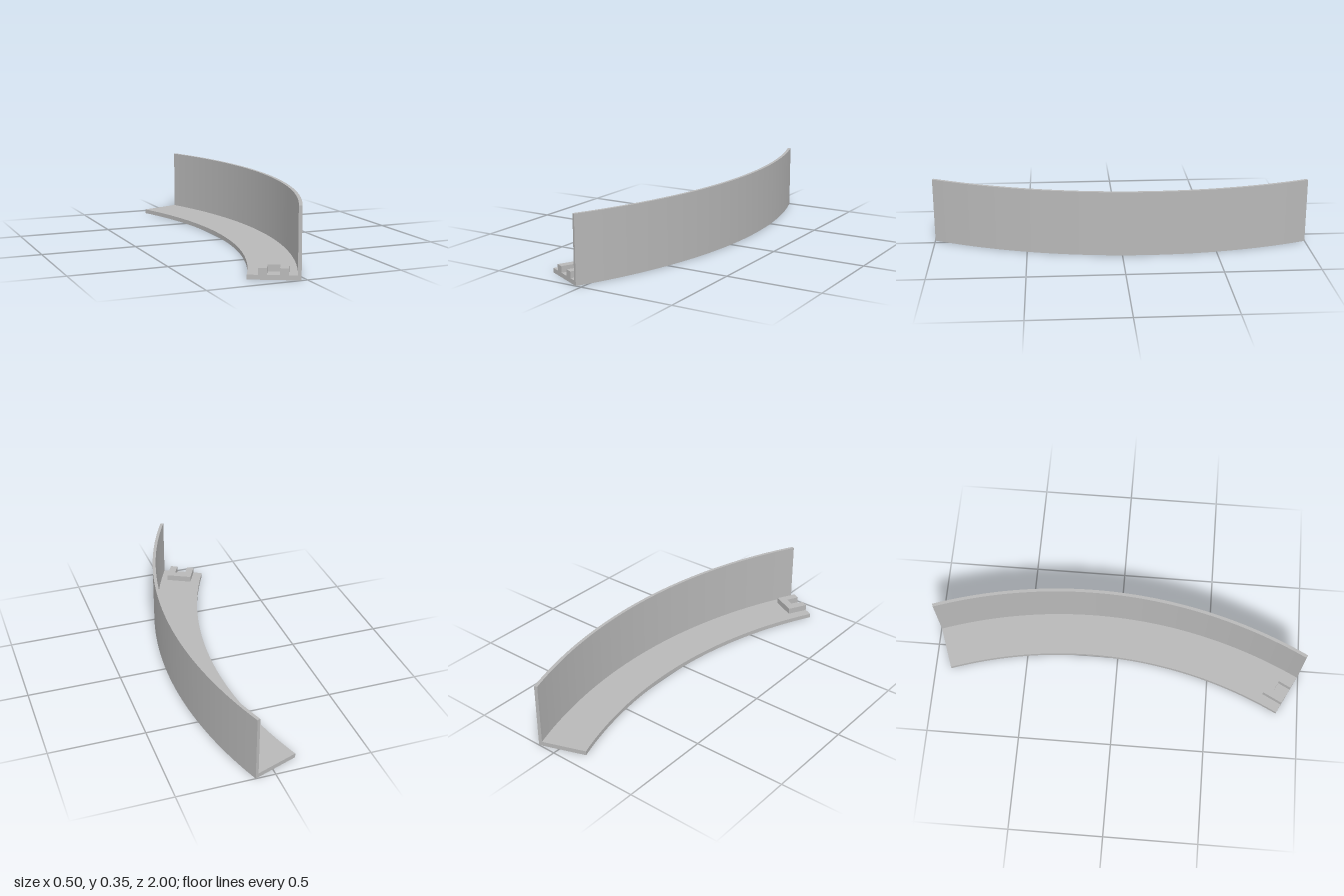
import * as THREE from 'three';

// Arc layout: centre, radii and the two end angles (measured from +x towards +z)
const CX = -2.25, CZ = -0.151;
const OUTER = 2.5, INNER = 2.248, WALL = 0.017;
const BACK = THREE.MathUtils.degToRad(-19.84);
const FRONT = THREE.MathUtils.degToRad(27.4);
const FLOOR = 0.023;

// Extrudes a plan shape (x, -z) upwards
function extrudeUp(shape, height) {
  const geometry = new THREE.ExtrudeGeometry(shape, { depth: height, bevelEnabled: false, curveSegments: 48 });
  return geometry.rotateX(-Math.PI / 2);
}

// Curved strip between two radii, from one end angle to the other
function arcStrip(r0, r1) {
  const shape = new THREE.Shape();
  shape.absarc(0, 0, r1, -FRONT, -BACK, false);
  shape.absarc(0, 0, r0, -BACK, -FRONT, true);
  shape.closePath();
  return shape;
}

export function createModel() {
  const model = new THREE.Group();
  model.name = 'curvedRail';
  const grey = new THREE.MeshStandardMaterial({ color: 0xb8b8b8 });
  grey.name = 'grey';

  const add = (name, geometry, parent) => {
    const mesh = new THREE.Mesh(geometry, grey);
    mesh.name = name;
    parent.add(mesh);
    return mesh;
  };

  // Flat floor and upright outer wall
  const floor = add('floor', extrudeUp(arcStrip(INNER, OUTER - WALL), FLOOR), model);
  const wall = add('outerWall', extrudeUp(arcStrip(OUTER - WALL, OUTER), 0.349), model);
  for (const part of [floor, wall]) part.position.set(CX, 0, CZ);

  // U-shaped bracket, open at the front end and flush with it
  const x0 = 0.052, x1 = 0.194, arm = 0.041, depth = 0.114, slot = 0.071;
  const outline = [
    [x0, 0], [x0 + arm, 0], [x0 + arm, slot], [x1 - arm, slot],
    [x1 - arm, 0], [x1, 0], [x1, depth], [x0, depth],
  ].map(([x, y]) => new THREE.Vector2(x, y));
  const bracket = add('endBracket', extrudeUp(new THREE.Shape(outline), 0.033), model);
  bracket.position.set(CX + INNER * Math.cos(FRONT), FLOOR, CZ + INNER * Math.sin(FRONT));
  bracket.rotation.y = -FRONT;

  return model;
}
